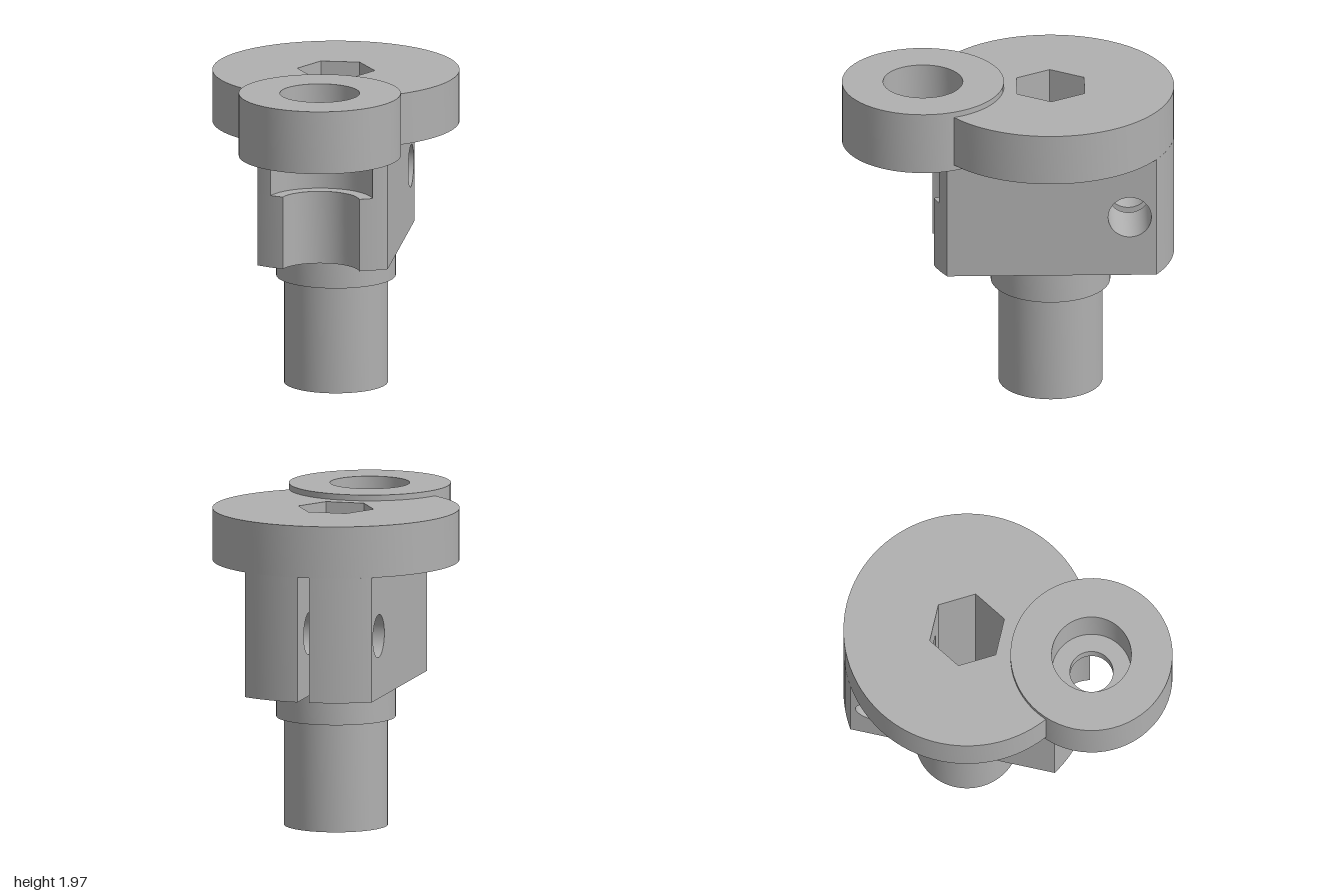
import * as THREE from 'three';
import { toCreasedNormals } from 'three/addons/utils/BufferGeometryUtils.js';

const AXIS_Z = -0.256;   // main axis of stem, body and flange
const R = 0.744;         // flange radius
const D = 0.768;         // distance from main axis to roller axis
const HALF = 0.395;      // half width of the body
const SLIT = 0.037;      // half width of the clamp slit
const SPLIT = 0.264;     // where body core ends and clamp cheeks begin
const EDGE = Math.sqrt(R * R - HALF * HALF);
const BODY_Y = 0.855, STEP_Y = 1.3, FLANGE_Y = 1.615;

// Plan shapes use x and v, where v points to the back.
const v2 = (x, y) => new THREE.Vector2(x, y);

function arc(cv, r, a0, a1, n = 24) {
  return Array.from({ length: n + 1 }, (_, i) => {
    const a = a0 + (a1 - a0) * i / n;
    return v2(r * Math.cos(a), cv + r * Math.sin(a));
  });
}

// Clockwise hexagon starting at its back left corner
const hex = Array.from({ length: 6 }, (_, i) => {
  const a = (2 - i) * Math.PI / 3;
  return v2(0.235 * Math.cos(a), 0.235 * Math.sin(a));
});

// Meeting point of the flange circle and a circle of radius r on the roller axis
function meet(r) {
  const a = (D * D + R * R - r * r) / (2 * D);
  return { x: Math.sqrt(R * R - a * a), v: -a };
}

export function createModel() {
  const group = new THREE.Group();
  const steel = new THREE.MeshStandardMaterial({ color: 0xb0b0b0 });
  steel.name = 'grey steel';

  function add(name, geometry) {
    const mesh = new THREE.Mesh(toCreasedNormals(geometry, 0.5), steel);
    mesh.name = name;
    group.add(mesh);
    return mesh;
  }

  // Vertical prism from a plan outline
  function prism(name, points, y0, y1, hole) {
    const shape = new THREE.Shape(points);
    if (hole) shape.holes.push(new THREE.Path(hole));
    const g = new THREE.ExtrudeGeometry(shape, { depth: y1 - y0, bevelEnabled: false });
    g.rotateX(-Math.PI / 2).translate(0, y0, AXIS_Z);
    return add(name, g);
  }

  const circle = (r) => arc(0, r, 0, Math.PI * 2, 64).slice(0, -1);

  // Hollow stem and collar with hexagonal bore
  prism('stem', circle(0.313), 0, 0.66, hex);
  prism('collar', circle(0.36), 0.66, BODY_Y, hex);

  // Body core: rounded front with a concave groove, slit open to the bore
  function corePlan(grooveR) {
    const m = meet(grooveR);
    const edgeA = Math.atan2(-EDGE, HALF), meetA = Math.atan2(m.v, m.x);
    const grooveA = Math.atan2(m.v + D, m.x);
    return [
      v2(-HALF, SPLIT),
      ...arc(0, R, -Math.PI - edgeA, -Math.PI - meetA, 8),
      ...arc(-D, grooveR, Math.PI - grooveA, grooveA).slice(1, -1),
      ...arc(0, R, meetA, edgeA, 8),
      v2(HALF, SPLIT), v2(SLIT, SPLIT), v2(SLIT, hex[0].y),
      ...hex.slice(1), hex[0], v2(-SLIT, hex[0].y), v2(-SLIT, SPLIT),
    ].filter((p, i, all) => i === 0 || p.distanceTo(all[i - 1]) > 1e-5);
  }
  // Hexagon corners run clockwise from the back right to the back left
  hex.push(hex.shift());
  const backLeft = hex.pop();
  hex.unshift(backLeft);
  prism('bodyLower', corePlan(0.24), BODY_Y, STEP_Y);
  prism('bodyUpper', corePlan(0.323), STEP_Y, FLANGE_Y);

  // Clamp cheeks with cross hole, and their rounded backs
  for (const side of [-1, 1]) {
    const label = side > 0 ? 'left' : 'right';
    const profile = new THREE.Shape([
      v2(SPLIT, BODY_Y), v2(EDGE, BODY_Y), v2(EDGE, FLANGE_Y), v2(SPLIT, FLANGE_Y),
    ]);
    profile.holes.push(new THREE.Path().absarc(0.469, 1.235, 0.13, 0, Math.PI * 2, true));
    const g = new THREE.ExtrudeGeometry(profile, {
      depth: HALF - SLIT, bevelEnabled: false, curveSegments: 40,
    });
    g.rotateY(Math.PI / 2).translate(side > 0 ? SLIT : -HALF, 0, AXIS_Z);
    add(label + 'ClampCheek', g);

    const back = arc(0, R, Math.atan2(EDGE, HALF), Math.acos(SLIT / R), 12);
    const plan = [v2(SLIT, EDGE), ...back].map((p) => v2(p.x * side, p.y));
    prism(label + 'ClampBack', plan, BODY_Y, FLANGE_Y);
  }

  // Flange disc with a bite where the roller sits
  const b = meet(0.488);
  const biteA = Math.atan2(b.v, b.x), rollerA = Math.atan2(b.v + D, b.x);
  prism('flange', [
    ...arc(0, R, biteA, Math.PI - biteA, 72),
    ...arc(-D, 0.488, Math.PI - rollerA, rollerA, 32).slice(1, -1),
  ], FLANGE_Y, 1.93, hex);

  // Counterbored roller
  const section = [
    [0.13, 1.58], [0.488, 1.58], [0.488, 1.965], [0.24, 1.965],
    [0.24, 1.66], [0.13, 1.66], [0.13, 1.58],
  ].map(([r, y]) => v2(r, y));
  add('roller', new THREE.LatheGeometry(section, 64)).position.z = AXIS_Z + D;

  return group;
}
